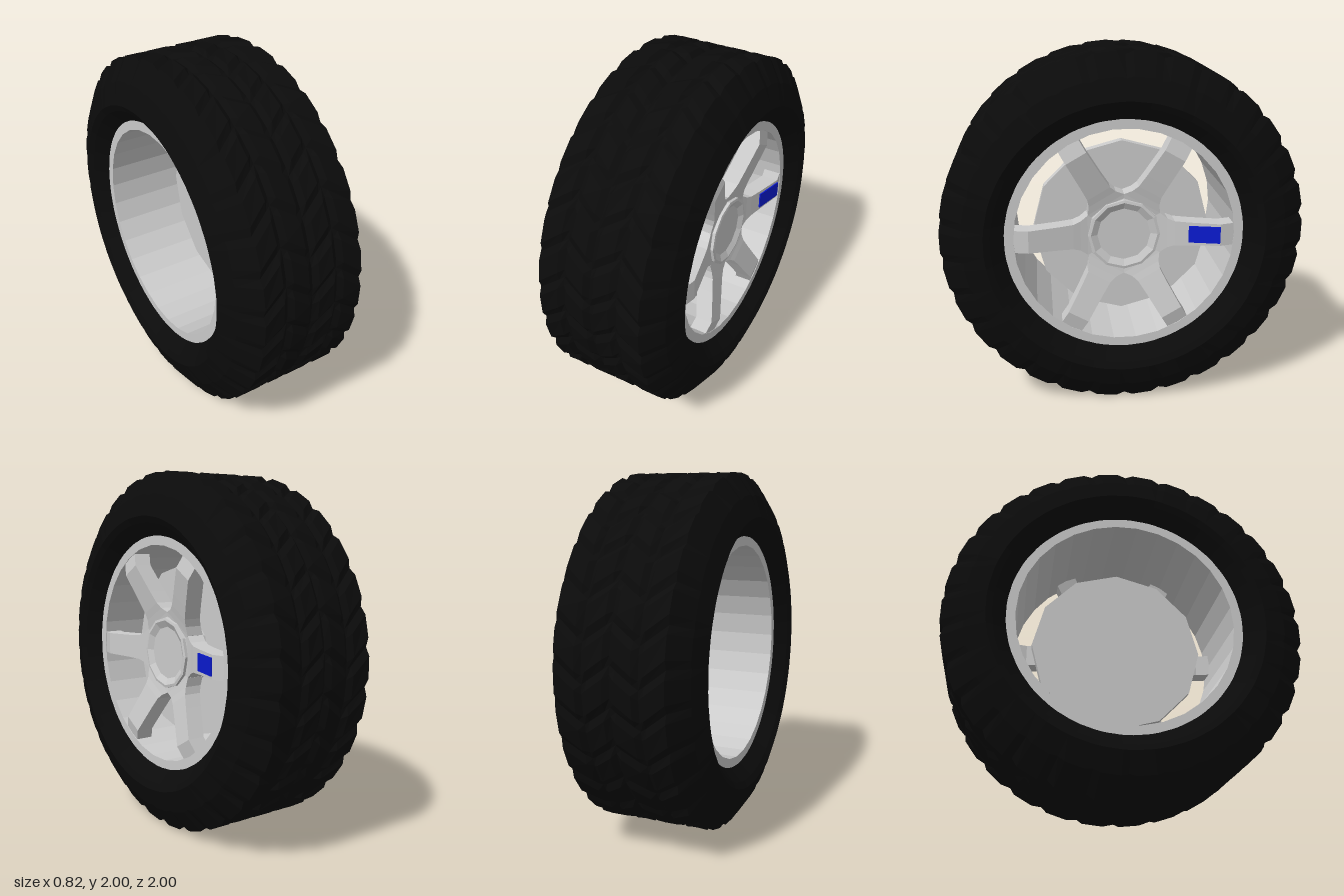
import * as THREE from 'three';

const metal = new THREE.MeshStandardMaterial({ color: 0xcccccc, flatShading: true });
const rubber = new THREE.MeshStandardMaterial({ color: 0x0b0b0b, flatShading: true });
const blue = new THREE.MeshStandardMaterial({ color: 0x0a1ad0 });

function part(name, geometry, material) {
  const mesh = new THREE.Mesh(geometry, material);
  mesh.name = name;
  return mesh;
}

// Turned part around the x axle; points are [radius, x]
function turned(points, sides) {
  return new THREE.LatheGeometry(points.map(([r, x]) => new THREE.Vector2(r, x)), sides).rotateZ(-Math.PI / 2);
}

// Tyre: a lathed carcass whose columns are moved to cut chevron grooves into the tread
function tyreGeometry() {
  // [x, radius, chevron shift (1 = tip), groove depth]
  const half = [
    [0.03, 1, 0.2, 0.02], [0.12, 1, 0.8, 0.02], [0.15, 0.98, 1, 0.005], [0.18, 1, 0.8, 0.02],
    [0.29, 1, 0, 0.02], [0.37, 0.88, 0, 0.01], [0.41, 0.76, 0, 0], [0.39, 0.725, 0, 0], [0.32, 0.655, 0, 0],
  ];
  const rows = [
    ...half.map(([x, ...rest]) => [-x, ...rest]).reverse(),
    [0, 0.98, 0, 0.005],
    ...half,
  ];
  const pitches = 30, step = (Math.PI * 2) / pitches, columns = [0, 0.22, 0.78];
  const geometry = new THREE.LatheGeometry(rows.map(([x, r]) => new THREE.Vector2(r, x)), pitches * 3);
  const pos = geometry.attributes.position;
  for (let i = 0; i < pos.count; i++) {
    const [x, radius, shift, depth] = rows[i % rows.length];
    const column = Math.floor(i / rows.length);
    const angle = (Math.floor(column / 3) + columns[column % 3]) * step - shift * 0.11;
    const r = radius - (column % 3 === 0 ? depth : 0);
    pos.setXYZ(i, x, r * Math.cos(angle), r * Math.sin(angle));
  }
  geometry.computeVertexNormals();
  return geometry;
}

// Spoke: a box bent along a dished profile, pointing up with its face toward +x
function spokeGeometry() {
  // [distance from axle, face x, half width]
  const stations = [
    [0.17, 0.252, 0.1], [0.2, 0.257, 0.115], [0.24, 0.266, 0.085], [0.28, 0.277, 0.071],
    [0.355, 0.295, 0.067], [0.525, 0.335, 0.063], [0.62, 0.312, 0.063],
  ];
  const n = stations.length - 1;
  const geometry = new THREE.BoxGeometry(1, 1, 1, 1, n, 1);
  const pos = geometry.attributes.position;
  for (let i = 0; i < pos.count; i++) {
    const [r, face, width] = stations[Math.round((pos.getY(i) + 0.5) * n)];
    pos.setXYZ(i, pos.getX(i) > 0 ? face : face - 0.1, r, Math.sign(pos.getZ(i)) * width);
  }
  geometry.computeVertexNormals();
  return geometry;
}

export function createModel() {
  const wheel = new THREE.Group();
  wheel.name = 'wheel';

  wheel.add(part('tyre', tyreGeometry(), rubber));

  // Open barrel with a flat flange at both ends
  wheel.add(part('rim', turned(
    [[0.66, -0.32], [0.66, 0.32], [0.605, 0.32], [0.605, -0.32], [0.66, -0.32]], 30), metal));

  // Six spokes, two of them level
  const spoke = spokeGeometry();
  for (let i = 0; i < 6; i++) {
    const mesh = part('spoke', spoke, metal);
    mesh.rotation.x = Math.PI / 2 + (i * Math.PI) / 3;
    wheel.add(mesh);
  }

  // Hub with a recessed centre cap
  wheel.add(part('hub', turned(
    [[0, 0.1], [0.215, 0.1], [0.215, 0.25], [0.2, 0.255], [0.2, 0.272], [0.185, 0.275], [0.148, 0.256], [0, 0.256]],
    12), metal));

  // Twelve-sided plate behind the spokes
  const plate = new THREE.CylinderGeometry(0.5, 0.5, 0.06, 12).rotateZ(-Math.PI / 2);
  plate.translate(0.1, 0, 0);
  wheel.add(part('brakePlate', plate, metal));

  // Blue badge lying on the rear spoke
  const badge = new THREE.Group();
  badge.name = 'badge';
  const panel = part('badgePanel', new THREE.BoxGeometry(0.012, 0.175, 0.095), blue);
  panel.position.set(0.317, 0.44, 0);
  panel.rotation.z = -Math.atan2(0.04, 0.17);
  badge.add(panel);
  badge.rotation.x = -Math.PI / 2;
  wheel.add(badge);

  wheel.position.y = 1;
  const model = new THREE.Group();
  model.add(wheel);
  return model;
}
